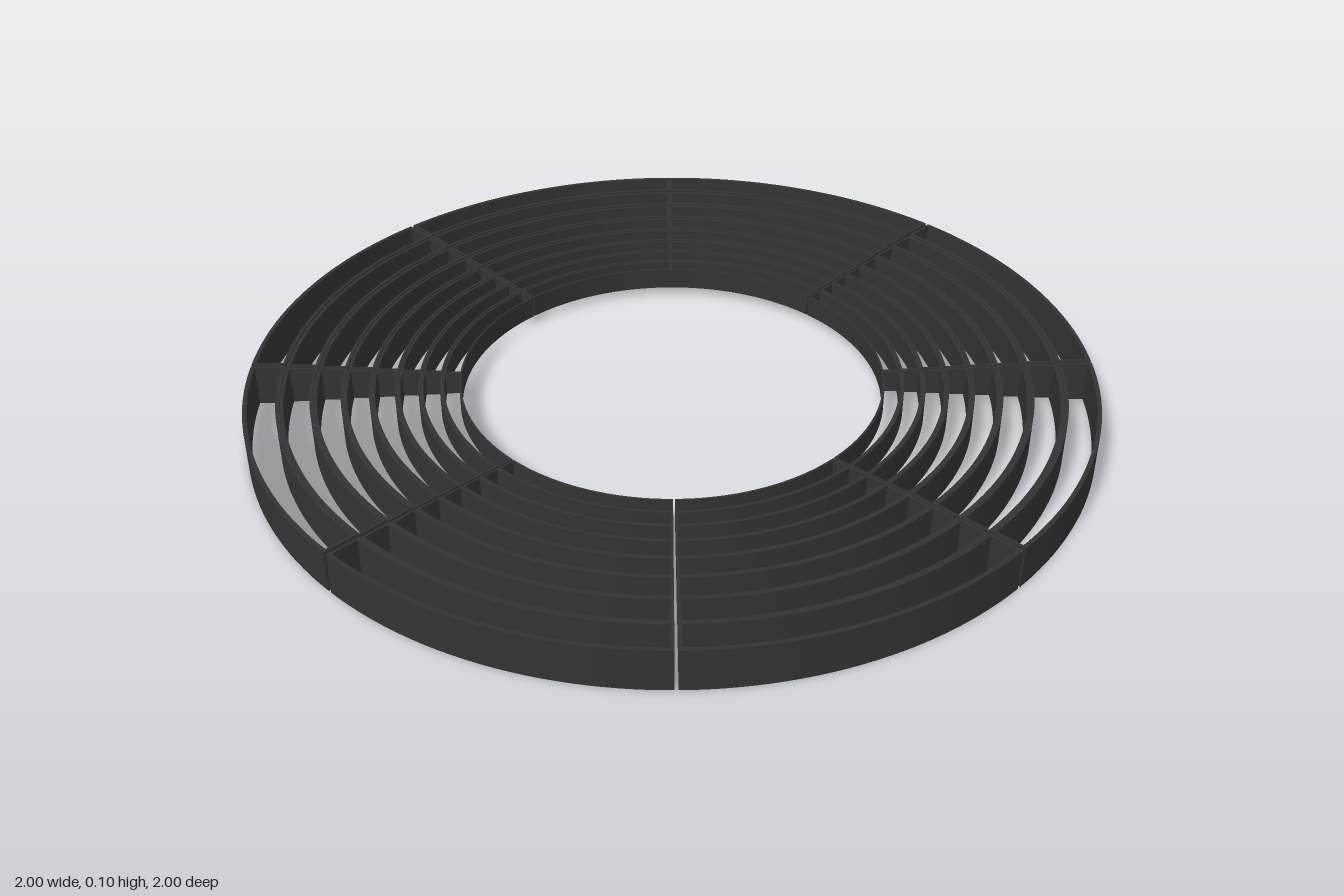
import * as THREE from 'three';
import { toCreasedNormals } from 'three/addons/utils/BufferGeometryUtils.js';

const RAD = Math.PI / 180;
const HEIGHT = 0.1;
const RINGS = 8;
const SEGMENTS = 8;
const SHRINK = Math.pow(0.5, 1 / RINGS); // each ring is a scaled copy of the one outside it
const SPAN = 44.6 * RAD; // angle covered by one segment
const GAP = ((360 * RAD) - SEGMENTS * SPAN) / (SEGMENTS - 1); // one seam stays closed
const WALL = 0.01;
const SIDE = 0.0075; // side wall thickness, in radians

// One open cell: a ring sector with a sector-shaped hole, centred on y = 0
function cellGeometry() {
  const shape = new THREE.Shape();
  shape.absarc(0, 0, 1, 0, SPAN, false);
  shape.absarc(0, 0, SHRINK, SPAN, 0, true);
  shape.closePath();

  const hole = new THREE.Path();
  hole.absarc(0, 0, 1 - WALL, SIDE, SPAN - SIDE, false);
  hole.absarc(0, 0, SHRINK + WALL * 0.9, SPAN - SIDE, SIDE, true);
  hole.closePath();
  shape.holes.push(hole);

  const geometry = new THREE.ExtrudeGeometry(shape, { depth: HEIGHT, bevelEnabled: false, curveSegments: 20 });
  geometry.translate(0, 0, -HEIGHT / 2);
  geometry.rotateX(-Math.PI / 2);
  return toCreasedNormals(geometry, 30 * RAD);
}

export function createModel() {
  const model = new THREE.Group();
  model.name = 'roundGrille';
  const material = new THREE.MeshStandardMaterial({ color: 0x333333 });
  const geometry = cellGeometry();

  for (let i = 0; i < SEGMENTS; i++) {
    const segment = new THREE.Group();
    segment.name = `segment${i + 1}`;
    segment.position.y = HEIGHT / 2;
    segment.rotation.y = 112.5 * RAD - SPAN - i * (SPAN + GAP);

    // Cells shrink towards the middle in width and height alike
    for (let k = 0; k < RINGS; k++) {
      const cell = new THREE.Mesh(geometry, material);
      cell.name = `cell${k + 1}`;
      cell.scale.setScalar(Math.pow(SHRINK, k));
      segment.add(cell);
    }
    model.add(segment);
  }
  return model;
}
